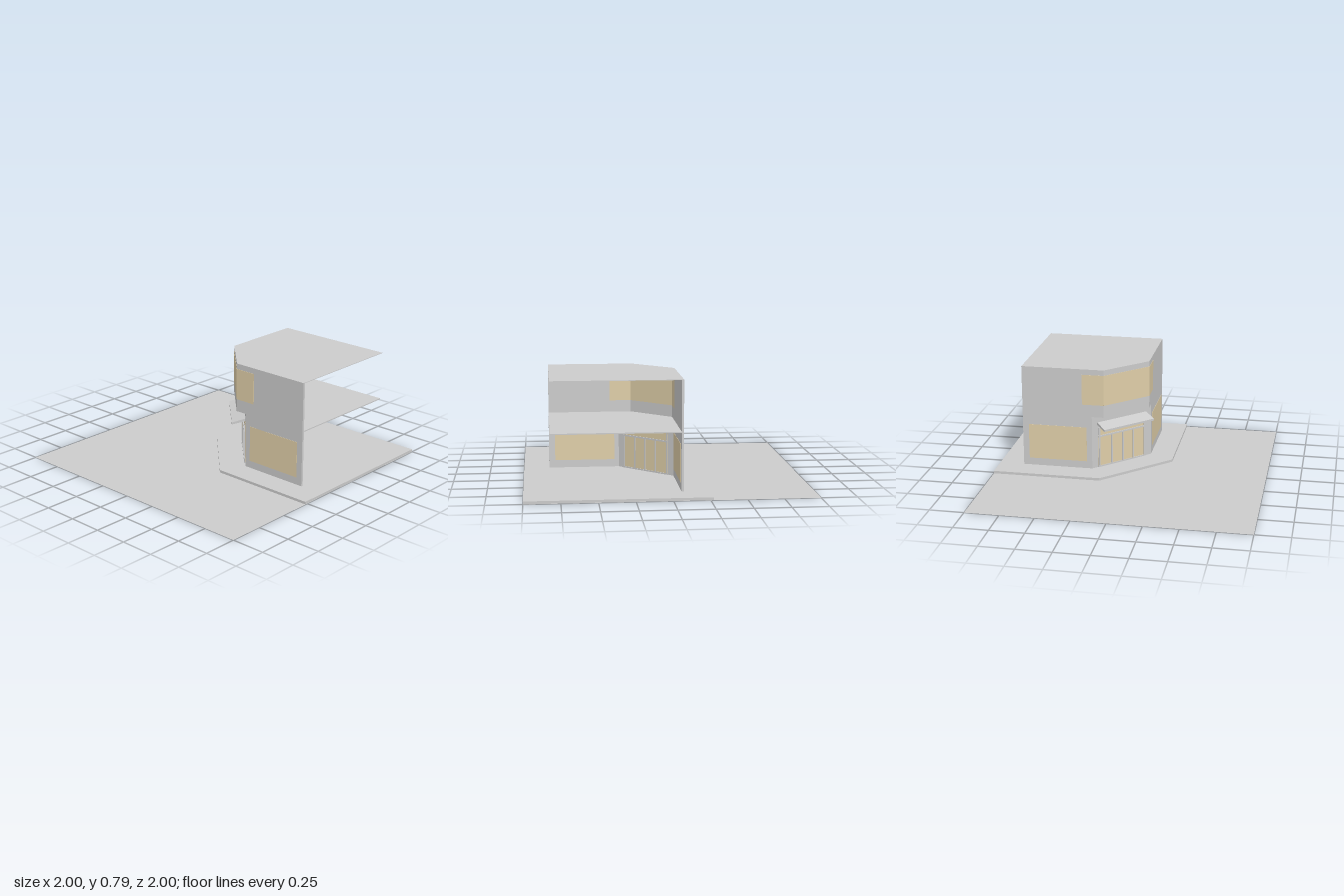
import * as THREE from 'three';

const grey = new THREE.MeshStandardMaterial({ color: 0xcccccc, side: THREE.DoubleSide });
const glass = new THREE.MeshStandardMaterial({ color: 0xdfcea8 });

const FACE = 0.09;      // distance of both street walls from the axes
const FAR = 0.815;      // far ends of the street walls
const THICK = 0.016;    // wall thickness
const LOW_CUT = 0.29;   // where the corner cut starts on the ground floor
const TOP_CUT = 0.2;    // and on the upper floor

// Vertical prism from an [x, z] outline
function prism(name, points, y, height) {
  const shape = new THREE.Shape(points.map(([x, z]) => new THREE.Vector2(x, -z)));
  const geo = new THREE.ExtrudeGeometry(shape, { depth: height, bevelEnabled: false });
  geo.rotateX(-Math.PI / 2);
  const mesh = new THREE.Mesh(geo, grey);
  mesh.name = name;
  mesh.position.y = y;
  return mesh;
}

// Box given by its x and y ranges, centred on z
function panel(name, x0, x1, y0, y1, depth, material, z = 0) {
  const mesh = new THREE.Mesh(new THREE.BoxGeometry(x1 - x0, y1 - y0, depth), material);
  mesh.name = name;
  mesh.position.set((x0 + x1) / 2, (y0 + y1) / 2, z);
  return mesh;
}

// Street walls: front, cut corner and side in one strip
function walls(name, cut, y, height) {
  const inner = FACE - THICK, c = cut + THICK * (Math.SQRT2 - 1);
  return prism(name, [
    [FAR, FACE], [cut, FACE], [-FACE, -cut], [-FACE, -FAR],
    [-inner, -FAR], [-inner, -c], [c, inner], [FAR, inner],
  ], y, height);
}

function slab(name, y, height) {
  return prism(name, [
    [FAR, FACE], [TOP_CUT, FACE], [-FACE, -TOP_CUT], [-FACE, -FAR], [FAR, -FAR],
  ], y, height);
}

// Group in the plane of the cut corner, local +z facing the street
function cornerFrame(name, cut) {
  const g = new THREE.Group();
  const m = (cut - FACE) / 2;
  g.name = name;
  g.position.set(m, 0, -m);
  g.rotation.y = -Math.PI / 4;
  return g;
}

function entrance() {
  const g = cornerFrame('entrance', LOW_CUT);
  const w = 0.212, mid = -THICK / 2;
  g.add(panel('entranceGlass', -w, w, 0.025, 0.332, THICK + 0.004, glass, mid));
  // Door posts and transom
  for (const x of [-w + 0.008, -0.095, 0.005, 0.1, w - 0.008]) {
    g.add(panel('doorPost', x - 0.006, x + 0.006, 0.022, x * x > 0.03 ? 0.332 : 0.265, THICK + 0.014, grey, mid));
  }
  g.add(panel('transom', -w, w, 0.258, 0.27, THICK + 0.018, grey, mid));
  g.add(panel('doorSill', -w, w, 0.02, 0.03, THICK + 0.014, grey, mid));
  // Sloping canopy above the doors
  const profile = new THREE.Shape([[0, 0.355], [0.1, 0.33], [0.1, 0.345], [0, 0.375]]
    .map(([z, y]) => new THREE.Vector2(z, y)));
  const geo = new THREE.ExtrudeGeometry(profile, { depth: 0.444, bevelEnabled: false });
  geo.translate(0, 0, -0.222).rotateY(-Math.PI / 2);
  // Local z of the profile now points along +z
  const canopy = new THREE.Mesh(geo, grey);
  canopy.name = 'canopy';
  g.add(canopy);
  return g;
}

export function createModel() {
  const model = new THREE.Group();
  model.name = 'cornerBuilding';

  // Ground and raised pavement
  const ground = new THREE.Mesh(new THREE.PlaneGeometry(2, 2).rotateX(-Math.PI / 2), grey);
  ground.name = 'ground';
  model.add(ground);
  model.add(prism('pavement', [
    [1, 0.27], [0.2, 0.27], [-0.27, -0.2], [-0.27, -1], [1, -1],
  ], 0.001, 0.019));

  // Storeys
  model.add(walls('groundFloorWalls', LOW_CUT, 0.02, 0.407));
  model.add(slab('upperFloor', 0.427, 0.008));
  model.add(walls('upperFloorWalls', TOP_CUT, 0.435, 0.353));
  model.add(slab('roof', 0.787, 0.004));

  // Windows on the two street walls, mirrored across the corner
  for (const side of [0, 1]) {
    const g = new THREE.Group();
    g.name = side ? 'sideWindows' : 'frontWindows';
    if (side) g.rotation.y = -Math.PI / 2;
    const s = side ? -1 : 1;
    const range = (a, b) => (side ? [-b, -a] : [a, b]);
    const z = FACE - THICK / 2;
    g.add(panel('shopWindow', ...range(0.33, 0.77), 0.075, 0.342, THICK + 0.004, glass, z));
    g.add(panel('upperWindow', ...range(TOP_CUT, 0.363), 0.52, 0.75, THICK + 0.004, glass, z));
    g.userData.direction = s;
    model.add(g);
  }

  // Middle part of the wrap-around upper window
  const corner = cornerFrame('cornerWindow', TOP_CUT);
  const half = (TOP_CUT + FACE) / Math.SQRT2;
  corner.add(panel('upperWindow', -half, half, 0.52, 0.75, THICK + 0.004, glass, -THICK / 2));
  model.add(corner);

  model.add(entrance());
  return model;
}
